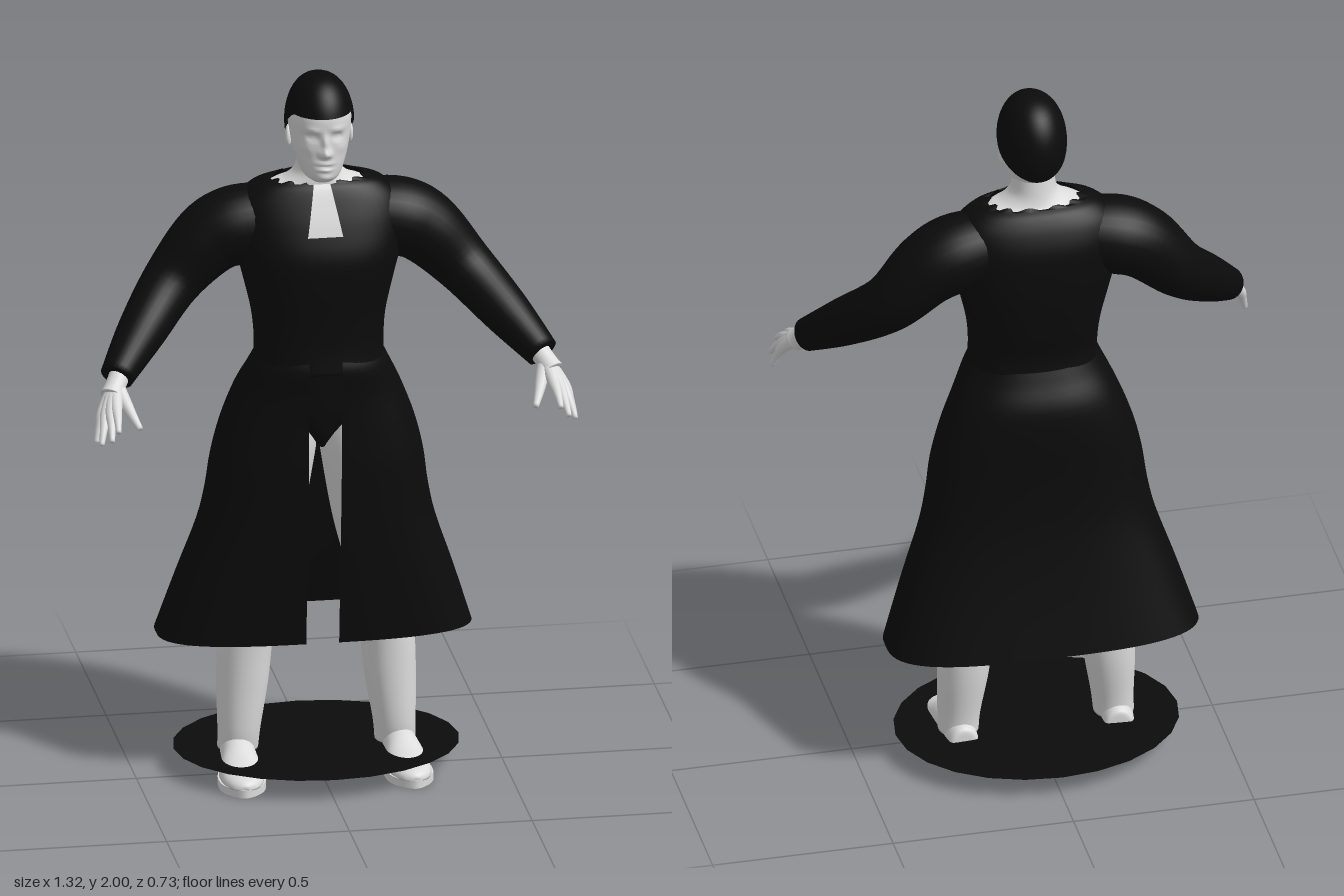
import * as THREE from 'three';

const skin = new THREE.MeshStandardMaterial({ name: 'pale grey skin', color: 0xdcdcdc, side: THREE.DoubleSide });
const cloth = new THREE.MeshStandardMaterial({ name: 'black cloth', color: 0x0b0b0b, side: THREE.DoubleSide });

// Skin a stack of equal-length rings of [x, y, z] points
function loft(rings, { closed = true, start = false, end = false } = {}) {
  const n = rings[0].length, pos = rings.flat(2), idx = [];
  const last = closed ? n : n - 1;
  for (let i = 0; i < rings.length - 1; i++)
    for (let j = 0; j < last; j++) {
      const k = (j + 1) % n, a = i * n + j, b = i * n + k;
      idx.push(a, b, a + n, b, b + n, a + n);
    }
  const cap = (i, flip) => {
    const c = pos.length / 3;
    for (let d = 0; d < 3; d++) pos.push(rings[i].reduce((s, p) => s + p[d], 0) / n);
    for (let j = 0; j < n; j++) {
      const a = i * n + j, b = i * n + (j + 1) % n;
      flip ? idx.push(c, b, a) : idx.push(c, a, b);
    }
  };
  if (start) cap(0, true);
  if (end) cap(rings.length - 1, false);
  const g = new THREE.BufferGeometry();
  g.setAttribute('position', new THREE.Float32BufferAttribute(pos, 3));
  g.setIndex(idx);
  g.computeVertexNormals();
  return g;
}

// Catmull-Rom subdivision of rows of numbers
function smooth(rows, k) {
  const out = [];
  const at = i => rows[Math.max(0, Math.min(rows.length - 1, i))];
  for (let i = 0; i < rows.length - 1; i++)
    for (let s = 0; s < k; s++) {
      const t = s / k;
      out.push(rows[i].map((b, d) => {
        const a = at(i - 1)[d], c = at(i + 1)[d], e = at(i + 2)[d];
        return b + 0.5 * t * (c - a + t * (2 * a - 5 * b + 4 * c - e + t * (3 * (b - c) + e - a)));
      }));
    }
  out.push(rows[rows.length - 1]);
  return out;
}

// Horizontal superellipse ring from [y, half width, back z, front z], with an optional front gap
function ring([y, hx, zb, zf], n = 2, seg = 40, gap = 0, cx = 0) {
  const f0 = gap ? Math.asin(Math.pow(gap / hx, n / 2)) : 0;
  const p = v => Math.sign(v) * Math.pow(Math.abs(v), 2 / n);
  return Array.from({ length: gap ? seg + 1 : seg }, (_, j) => {
    const f = f0 + (2 * Math.PI - 2 * f0) * j / seg;
    return [cx + hx * p(Math.sin(f)), y, (zb + zf) / 2 + (zf - zb) / 2 * p(Math.cos(f))];
  });
}

// Round tapered limb through rows of [x, y, z, radius]
function limb(rows, k = 5, seg = 20) {
  const pts = smooth(rows, k);
  const v = pts.map(p => new THREE.Vector3(p[0], p[1], p[2]));
  return loft(pts.map((p, i) => {
    const t = v[Math.min(i + 1, v.length - 1)].clone().sub(v[Math.max(i - 1, 0)]).normalize();
    const a = new THREE.Vector3(0, 0, 1).cross(t).normalize(), b = t.clone().cross(a);
    return Array.from({ length: seg }, (_, j) => {
      const f = j / seg * Math.PI * 2;
      return v[i].clone().addScaledVector(a, p[3] * Math.cos(f)).addScaledVector(b, p[3] * Math.sin(f)).toArray();
    });
  }), { start: true, end: true });
}

function add(parent, name, geometry, material) {
  const m = new THREE.Mesh(geometry, material);
  m.name = name;
  parent.add(m);
  return m;
}

function headGeometry() {
  const rows = smooth([[1.715, .03, .01, .085], [1.73, .05, -.04, .1], [1.76, .063, -.07, .106], [1.8, .075, -.09, .106],
    [1.85, .083, -.1, .107], [1.9, .084, -.105, .11], [1.95, .07, -.09, .09], [1.985, .04, -.05, .05]], 7);
  // [x, y, x spread, y spread, depth]: nose, brows, eye sockets, eyes, lips, mouth line, chin, cheeks
  const bumps = [[0, 1.806, .011, .013, .024], [0, 1.835, .008, .022, .014], [.013, 1.802, .007, .008, .008],
    [.035, 1.872, .02, .007, .006], [.034, 1.85, .014, .009, -.012], [.034, 1.849, .008, .005, .006],
    [0, 1.775, .02, .005, .007], [0, 1.757, .017, .005, .007], [0, 1.766, .022, .003, -.005],
    [0, 1.733, .02, .01, .006], [.05, 1.815, .015, .015, .004]];
  return loft(rows.map(r => ring(r, 2.2, 96).map(([x, y, z]) => {
    if (z > .02) for (const [bx, by, sx, sy, a] of bumps)
      z += a * Math.exp(-(((Math.abs(x) - bx) / sx) ** 2) - ((y - by) / sy) ** 2);
    return [x, y, z];
  })), { start: true, end: true });
}

// Cropped cap of hair: high fringe, lower at the sides and nape
function hairGeometry() {
  const rings = [], seg = 48, rowsN = 16;
  for (let i = 0; i <= rowsN; i++)
    rings.push(Array.from({ length: seg }, (_, j) => {
      const f = j / seg * Math.PI * 2, c = Math.cos(f);
      const edge = c > .45 ? 1.908 : c > -.1 ? 1.845 + .063 * (c + .1) / .55 : 1.785 + .06 * (c + 1) / .9;
      const low = Math.acos((edge - 1.865) / .135), th = low * (1 - i / rowsN) + .01;
      const s = Math.pow(Math.sin(th), .85);
      return [.094 * s * Math.sin(f), 1.865 + .135 * Math.cos(th), .002 + .122 * s * c];
    }));
  return loft(rings, { end: true });
}

const torsoRows = [[1.17, .178, -.14, .12], [1.24, .175, -.132, .115], [1.32, .182, -.15, .118], [1.42, .205, -.166, .125],
  [1.5, .225, -.17, .124], [1.58, .235, -.165, .1], [1.64, .22, -.145, .075], [1.68, .18, -.12, .055], [1.695, .145, -.1, .042]];

function shoeGeometry() {
  // [z, half width, height] from heel to toe
  const rows = smooth([[-.127, .03, .075], [-.115, .045, .1], [-.03, .05, .108], [.03, .054, .1],
    [.08, .06, .075], [.14, .055, .055], [.185, .036, .045], [.2, .012, .032]], 4);
  return loft(rows.map(([z, w, h]) => Array.from({ length: 25 }, (_, j) => {
    const f = j / 24 * Math.PI;
    return [w * Math.cos(f), .02 + (h - .02) * Math.pow(Math.sin(f), .8), z];
  })), { start: true, end: true });
}

function soleGeometry() {
  const outline = [[-.035, .125], [-.052, .09], [-.05, 0], [-.064, -.09], [-.052, -.16], [0, -.204],
    [.052, -.16], [.064, -.09], [.05, 0], [.052, .09], [.035, .125]].map(p => new THREE.Vector2(...p));
  const s = new THREE.Shape().moveTo(-.035, .125).splineThru(outline.slice(1)).lineTo(-.035, .125);
  return new THREE.ExtrudeGeometry(s, { depth: .022, bevelEnabled: false, curveSegments: 30 }).rotateX(-Math.PI / 2);
}

// Sleeve, hand, leg, shoe and ear of the left side
function buildSide() {
  const g = new THREE.Group();
  add(g, 'sleeve', limb([[.12, 1.58, -.04, .095], [.22, 1.56, -.045, .108], [.3, 1.52, -.045, .1], [.4, 1.415, -.025, .08],
    [.5, 1.31, .075, .066], [.583, 1.222, .172, .046]], 6, 28), cloth);
  add(g, 'wrist', limb([[.56, 1.245, .15, .03], [.59, 1.205, .195, .028], [.603, 1.185, .215, .032]]), skin);
  // Hand: one overlapping strand per finger makes the palm as well
  const wrist = [.588, 1.21, .188];
  const fingers = [[[.598, 1.17, .262], [.605, 1.125, .345]], [[.612, 1.162, .262], [.625, 1.105, .358]],
    [[.623, 1.156, .252], [.648, 1.085, .325]], [[.63, 1.152, .238], [.655, 1.075, .275]]];
  fingers.forEach(([kn, tip], i) => {
    const mid = kn.map((v, d) => v * .45 + tip[d] * .55 + (d === 1 ? .006 : 0));
    add(g, 'finger' + (i + 1), limb([[...wrist, .02], [...kn, .0165], [...mid, .0115], [...tip, .007]], 5, 12), skin);
  });
  add(g, 'thumb', limb([[...wrist, .02], [.572, 1.175, .23, .018], [.556, 1.145, .275, .013], [.541, 1.12, .312, .008]], 5, 12), skin);

  // [y, half width, back z, front z, centre x]
  const leg = smooth([[.06, .055, -.105, .01, .215], [.12, .058, -.11, .022, .212], [.25, .07, -.128, .026, .202],
    [.38, .074, -.132, .03, .192], [.52, .073, -.125, .04, .165], [.7, .082, -.125, .055, .127],
    [.86, .09, -.13, .07, .106], [.96, .093, -.13, .075, .096], [1.06, .08, -.12, .07, .088]], 5);
  add(g, 'leg', loft(leg.map(r => ring(r, 2.1, 32, 0, r[4])), { start: true, end: true }), skin);

  const shoe = new THREE.Group();
  shoe.name = 'shoe';
  add(shoe, 'shoeUpper', shoeGeometry(), skin);
  add(shoe, 'shoeSole', soleGeometry(), skin);
  shoe.position.x = .222;
  shoe.rotation.y = .06;
  g.add(shoe);

  const ear = add(g, 'ear', new THREE.SphereGeometry(1, 16, 12), skin);
  ear.scale.set(.009, .03, .017);
  ear.position.set(.083, 1.825, -.005);
  ear.rotation.set(-.15, .3, 0);
  return g;
}

export function createModel() {
  const model = new THREE.Group();
  model.name = 'figureInLongCoat';

  add(model, 'head', headGeometry(), skin);
  add(model, 'hair', hairGeometry(), cloth);
  const neck = smooth([[1.66, .165, -.11, .05], [1.685, .13, -.1, .045], [1.7, .09, -.09, .045],
    [1.73, .062, -.082, .043], [1.79, .058, -.075, .05]], 5);
  add(model, 'neck', loft(neck.map(r => ring(r, 2.1))), skin);

  // Bodice with an uneven neckline
  const torso = smooth(torsoRows, 5).map(r => ring(r, 2.4, 48));
  torso.push(ring([1.694, .128, -.094, .04], 2.4, 48).map(([x, y, z], j) => [x * (j % 4 < 2 ? 1 : .9), y + (j % 4 < 2 ? 0 : .008), z]));
  add(model, 'bodice', loft(torso, { start: true }), cloth);

  // Narrow chest opening laid on the bodice front
  const chest = smooth(torsoRows.slice(4), 5).filter(r => r[0] > 1.555);
  add(model, 'chestOpening', loft(chest.map(r => {
    const w = .023 + .026 * (1.695 - r[0]) / .135;
    return [-1, -.5, 0, .5, 1].map(s => [s * w, r[0], r[3] + .003]);
  }), { closed: false }), skin);

  // Briefs ending in a V between the legs
  const briefs = smooth([[.945, .012, -.07, .06], [.975, .035, -.135, .084], [1.01, .075, -.145, .092],
    [1.07, .16, -.15, .098], [1.2, .165, -.135, .105]], 5);
  add(model, 'briefs', loft(briefs.map(r => ring(r, 2.3)), { start: true, end: true }), cloth);

  // Flared coat skirt, split down the front
  const skirt = smooth([[.38, .43, -.272, .06], [.55, .376, -.238, .076], [.7, .325, -.212, .09], [.8, .303, -.2, .098],
    [.9, .289, -.194, .105], [1, .264, -.192, .108], [1.1, .226, -.183, .113], [1.17, .193, -.152, .124], [1.205, .176, -.136, .118]], 4);
  add(model, 'coatSkirt', loft(skirt.map(r => ring(r, 2.2 + .9 * (1.205 - r[0]), 64, .045)), { closed: false }), cloth);

  // Flat oval sheet around the feet
  const disc = add(model, 'floorDisc', new THREE.CircleGeometry(1, 24).rotateX(-Math.PI / 2), cloth);
  disc.scale.set(.39, 1, .315);
  disc.position.set(0, .06, -.053);

  for (const s of [1, -1]) {
    const side = buildSide();
    side.name = s > 0 ? 'leftSide' : 'rightSide';
    side.scale.x = s;
    model.add(side);
  }
  return model;
}
